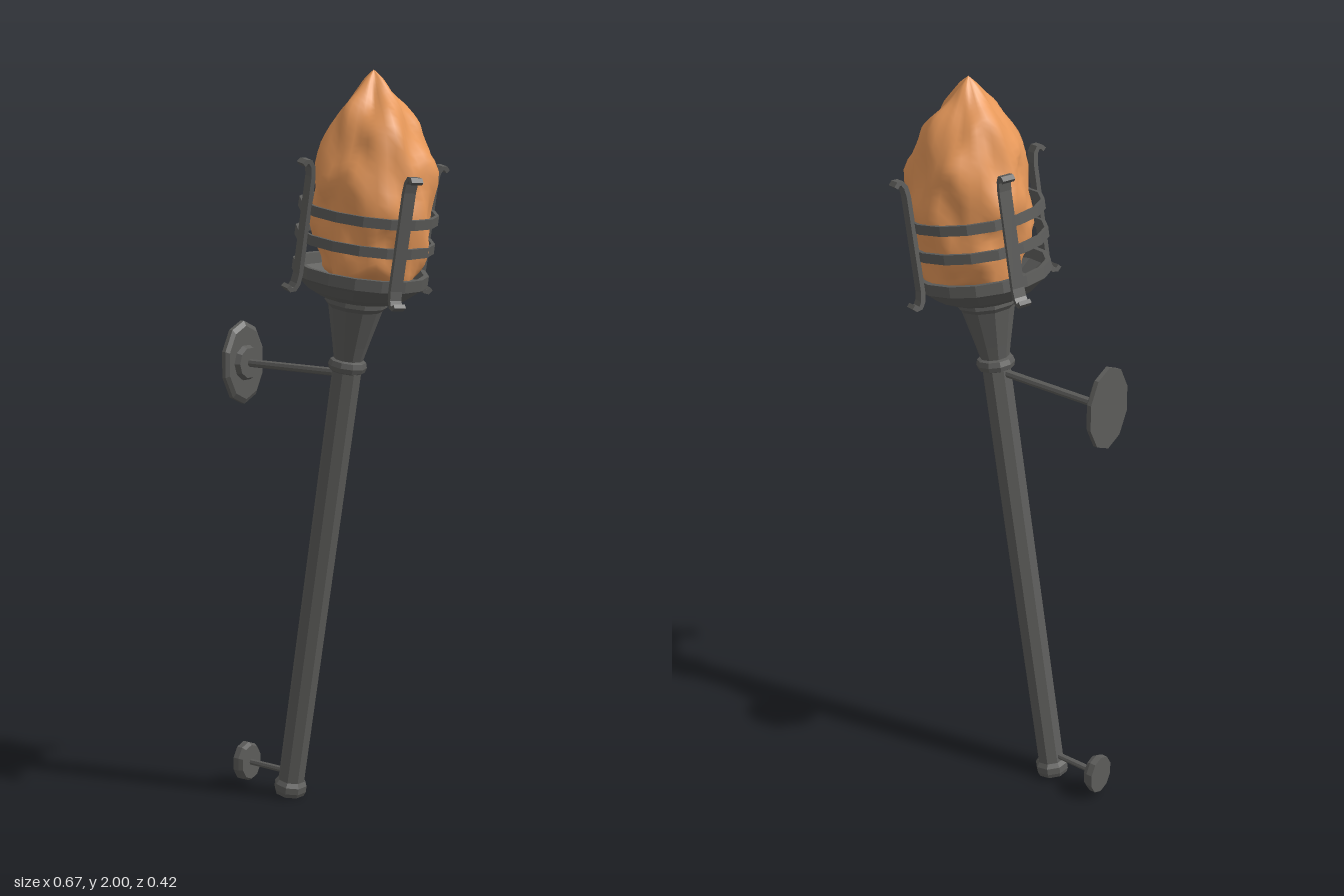
import * as THREE from 'three';
import { mergeVertices } from 'three/addons/utils/BufferGeometryUtils.js';

const metal = new THREE.MeshStandardMaterial({ color: 0x5c5c5a, flatShading: true, side: THREE.DoubleSide });
const fire = new THREE.MeshStandardMaterial({ color: 0xe8995a });

function add(parent, name, geometry, material = metal) {
  const mesh = new THREE.Mesh(geometry, material);
  mesh.name = name;
  parent.add(mesh);
  return mesh;
}

// Faceted turning with a flat side towards the axes
function turned(profile, sides) {
  const points = profile.map(([r, y]) => new THREE.Vector2(r, y));
  return new THREE.LatheGeometry(points, sides).rotateY(Math.PI / sides);
}

// Flat strip with a hook curling outward at each end
function barGeometry() {
  const line = [
    [0.217, 1.438], [0.208, 1.429], [0.197, 1.431], [0.189, 1.445], [0.185, 1.47],
    [0.185, 1.725], [0.189, 1.75], [0.198, 1.763], [0.208, 1.763], [0.216, 1.754],
  ].map(([x, y]) => new THREE.Vector2(x, y));
  const offset = (d) => line.map((p, i) => {
    const t = line[Math.min(i + 1, line.length - 1)].clone().sub(line[Math.max(i - 1, 0)]).normalize();
    return new THREE.Vector2(p.x + t.y * d, p.y - t.x * d);
  });
  const shape = new THREE.Shape([...offset(0.006), ...offset(-0.006).reverse()]);
  return new THREE.ExtrudeGeometry(shape, { depth: 0.034, bevelEnabled: false }).translate(0, 0, -0.017);
}

// Upright lumpy flame that narrows to a tip
function flameGeometry() {
  const profile = new THREE.SplineCurve([
    [0, 1.45], [0.11, 1.46], [0.137, 1.51], [0.152, 1.6], [0.158, 1.7], [0.137, 1.8],
    [0.102, 1.88], [0.056, 1.935], [0.025, 1.975], [0, 2.0],
  ].map(([r, y]) => new THREE.Vector2(r, y))).getPoints(36);
  profile[0].x = profile[profile.length - 1].x = 0;
  const geo = new THREE.LatheGeometry(profile, 36);
  const p = geo.attributes.position;
  for (let i = 0; i < p.count; i++) {
    const x = p.getX(i), y = p.getY(i), z = p.getZ(i);
    const a = Math.atan2(z, x);
    const k = 1 + 0.045 * Math.sin(5 * a + 13 * y) + 0.04 * Math.sin(3 * a - 31 * y)
      + 0.03 * Math.sin(8 * a + 47 * y) + 0.025 * Math.cos(11 * a - 23 * y);
    const lift = 0.018 * Math.sin(4 * a + 20 * y) * Math.min(1, Math.hypot(x, z) / 0.1);
    p.setXYZ(i, x * k + 0.123, y + lift, z * k * 0.97 - 0.012);
  }
  geo.deleteAttribute('uv');
  geo.deleteAttribute('normal');
  const merged = mergeVertices(geo, 1e-4);
  merged.computeVertexNormals();
  return merged;
}

// Wall plate, boss and rod, running along +x from the wall side
function bracket(name, y, halfHeight, halfDepth, thickness, boss, rodEnd, rodRadius) {
  const group = new THREE.Group();
  group.name = name;
  const back = -0.325, face = back + thickness;
  const plate = add(group, 'wallPlate', turned(
    [[0, 0], [1, 0], [1, thickness * 0.6], [0.88, thickness], [0, thickness]], 10).rotateZ(-Math.PI / 2));
  plate.scale.set(1, halfHeight, halfDepth);
  plate.position.set(back, y, 0);
  if (boss) {
    const knob = add(group, 'boss', new THREE.CylinderGeometry(boss * 0.85, boss, 0.014, 10).rotateZ(-Math.PI / 2));
    knob.position.set(face + 0.007, y, 0);
  }
  const rod = add(group, 'rod', new THREE.CylinderGeometry(rodRadius, rodRadius, rodEnd - face, 8).rotateZ(Math.PI / 2));
  rod.position.set((rodEnd + face) / 2, y, 0);
  return group;
}

export function createModel() {
  const model = new THREE.Group();
  model.name = 'wallTorch';

  // Everything turned leans on one tilted axis
  const torch = new THREE.Group();
  torch.name = 'torch';
  torch.position.set(-0.155, 0.02, 0);
  torch.rotation.z = -0.166;
  model.add(torch);

  add(torch, 'shaft', turned([[0, 0], [0.037, 0], [0.04, 1.22], [0, 1.22]], 8));
  add(torch, 'footCap', turned([[0, -0.012], [0.041, -0.012], [0.046, 0], [0.046, 0.018], [0.038, 0.03]], 8));
  add(torch, 'collar', turned([[0.036, 1.205], [0.048, 1.21], [0.052, 1.223], [0.048, 1.237], [0.036, 1.242]], 10));
  add(torch, 'flare', turned([[0.038, 1.235], [0.048, 1.28], [0.072, 1.38], [0.083, 1.392], [0.083, 1.41], [0, 1.41]], 10));

  // Open bowl with a thick rim
  add(torch, 'bowl', turned([
    [0, 1.405], [0.1, 1.408], [0.135, 1.425], [0.17, 1.455], [0.18, 1.462], [0.18, 1.492],
    [0.166, 1.492], [0.158, 1.465], [0.12, 1.44], [0, 1.435],
  ], 16));

  // Basket bands and hooked bars
  for (const y of [1.565, 1.64]) {
    add(torch, 'basketBand', turned([
      [0.184, y - 0.013], [0.184, y + 0.013], [0.174, y + 0.013], [0.174, y - 0.013], [0.184, y - 0.013],
    ], 16));
  }
  const bar = barGeometry();
  for (let i = 0; i < 4; i++) {
    add(torch, 'basketBar', bar).rotation.y = -(0.39 + i * Math.PI / 2);
  }

  add(model, 'flame', flameGeometry(), fire);

  model.add(bracket('upperBracket', 1.205, 0.115, 0.082, 0.02, 0.05, 0.03, 0.011));
  model.add(bracket('lowerBracket', 0.07, 0.056, 0.046, 0.03, 0, -0.15, 0.009));
  return model;
}
